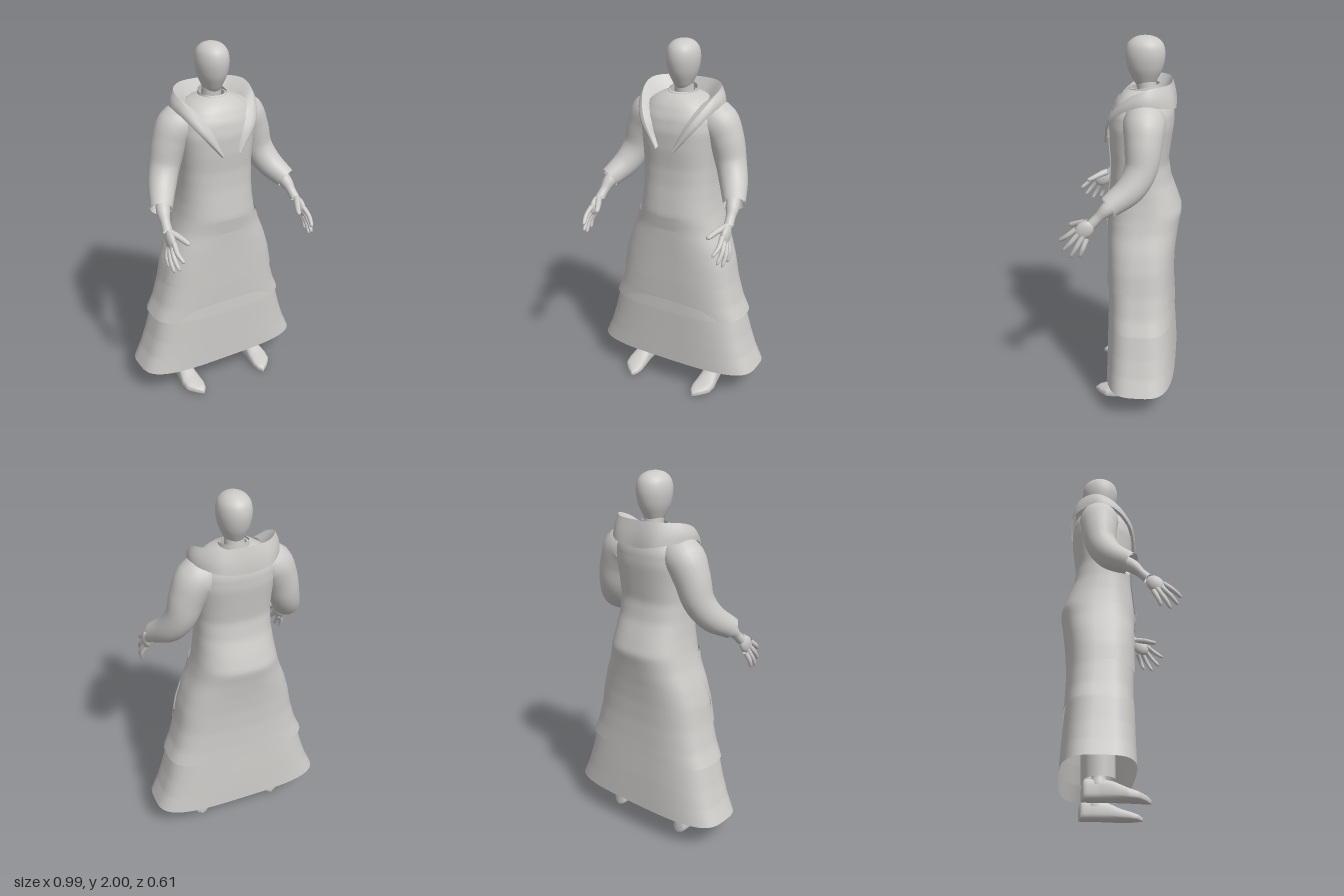
import * as THREE from 'three';
import { mergeVertices } from 'three/addons/utils/BufferGeometryUtils.js';

const clay = new THREE.MeshStandardMaterial({ color: 0xcccac7, side: THREE.DoubleSide });
clay.name = 'light grey';

const V = (p) => new THREE.Vector3(p[0], p[1], p[2]);
const lerp = THREE.MathUtils.lerp;

function add(group, name, geometry) {
  const mesh = new THREE.Mesh(geometry, clay);
  mesh.name = name;
  group.add(mesh);
  return mesh;
}

// Smooth surface from point(u, v), u and v in 0..1
function grid(nu, nv, point) {
  const pos = [], index = [];
  for (let j = 0; j <= nv; j++)
    for (let i = 0; i <= nu; i++) pos.push(...point(i / nu, j / nv));
  for (let j = 0; j < nv; j++)
    for (let i = 0; i < nu; i++) {
      const a = j * (nu + 1) + i, b = a + nu + 1;
      index.push(a, a + 1, b, a + 1, b + 1, b);
    }
  let g = new THREE.BufferGeometry();
  g.setAttribute('position', new THREE.Float32BufferAttribute(pos, 3));
  g.setIndex(index);
  g = mergeVertices(g, 1e-5);
  g.computeVertexNormals();
  return g;
}

// Interpolates rows of numbers by their first value
function rowAt(rows, key) {
  let i = 0;
  while (i < rows.length - 2 && key > rows[i + 1][0]) i++;
  const a = rows[i], b = rows[i + 1];
  const t = THREE.MathUtils.clamp((key - a[0]) / (b[0] - a[0]), 0, 1);
  return a.map((v, k) => lerp(v, b[k], t));
}

// Garment profiles: y, half width, front z, back z, squareness
const COAT = [
  [0.48, 0.405, 0.08, -0.28, 3.2], [0.56, 0.37, 0.083, -0.275, 3.1], [0.68, 0.337, 0.085, -0.27, 3],
  [0.8, 0.315, 0.085, -0.272, 2.9], [0.9, 0.285, 0.086, -0.28, 2.8], [1.0, 0.246, 0.088, -0.293, 2.6],
  [1.08, 0.225, 0.098, -0.307, 2.5], [1.16, 0.211, 0.09, -0.28, 2.5], [1.25, 0.202, 0.08, -0.245, 2.5],
  [1.35, 0.199, 0.077, -0.228, 2.5], [1.45, 0.205, 0.085, -0.24, 2.5], [1.55, 0.215, 0.086, -0.253, 2.5],
  [1.62, 0.21, 0.072, -0.253, 2.4], [1.68, 0.175, 0.042, -0.238, 2.3], [1.72, 0.115, 0.005, -0.2, 2.2],
  [1.735, 0.065, -0.03, -0.16, 2]];
const SKIRT = [
  [0.16, 0.495, 0.09, -0.295, 3.4], [0.25, 0.455, 0.089, -0.29, 3.3], [0.35, 0.422, 0.088, -0.284, 3.2],
  [0.48, 0.388, 0.087, -0.274, 3.1], [0.6, 0.345, 0.08, -0.262, 3], [0.7, 0.315, 0.075, -0.255, 3]];

function onProfile(rows, y, angle, out = 0) {
  const [, rx, zf, zb, n] = rowAt(rows, y);
  const s = Math.sin(angle), c = Math.cos(angle);
  const pow = (v) => Math.sign(v) * Math.abs(v) ** (2 / n);
  return [(rx + out) * pow(s), y, (zf + zb) / 2 + ((zf - zb) / 2 + out) * pow(c)];
}

function garment(rows) {
  const y0 = rows[0][0], y1 = rows[rows.length - 1][0];
  return grid(72, 64, (u, v) => onProfile(rows, lerp(y0, y1, v), u * Math.PI * 2));
}

// Thin panel lying on the coat front; edges: y, x start, x end
function panel(edges, out, nv = 16) {
  const y0 = edges[0][0], y1 = edges[edges.length - 1][0];
  return grid(24, nv, (u, v) => {
    const y = lerp(y0, y1, v), [, a, b] = rowAt(edges, y), [, rx, , , n] = rowAt(COAT, y);
    const toAngle = (x) => Math.sign(x) * Math.asin(Math.min(1, Math.abs(x / rx) ** (n / 2)));
    return onProfile(COAT, y, lerp(toAngle(a), toAngle(b), u), out);
  });
}

// Round limb along points x, y, z, radius; optionally closed at the tip
function limb(points, closed = false, sides = 24, steps = 28) {
  const curve = new THREE.CatmullRomCurve3(points.map(V));
  const radii = new THREE.CatmullRomCurve3(points.map((p) => new THREE.Vector3(p[3], 0, 0)));
  const f = curve.computeFrenetFrames(steps);
  return grid(sides, steps, (u, v) => {
    const j = Math.round(v * steps), t = curve.getUtoTmapping(v), a = u * Math.PI * 2;
    let r = radii.getPoint(t).x;
    if (closed && v > 0.85) r *= Math.sqrt(Math.max(0, 1 - ((v - 0.85) / 0.15) ** 2));
    return curve.getPoint(t).addScaledVector(f.normals[j], r * Math.cos(a))
      .addScaledVector(f.binormals[j], r * Math.sin(a)).toArray();
  });
}

// Shoe sections: z, centre x, half width, height
const SHOE = [
  [-0.185, 0.225, 0, 0.06], [-0.183, 0.225, 0.03, 0.09], [-0.165, 0.225, 0.043, 0.11],
  [-0.1, 0.225, 0.047, 0.115], [-0.03, 0.23, 0.054, 0.1], [0.04, 0.233, 0.062, 0.068],
  [0.09, 0.228, 0.059, 0.052], [0.13, 0.213, 0.033, 0.037], [0.155, 0.205, 0, 0.02]];

function shoe() {
  return grid(28, 40, (u, v) => {
    const [z, xc, hw, h] = rowAt(SHOE, lerp(-0.185, 0.155, v));
    const a = u * Math.PI * 2, s = Math.sin(a);
    const y = h / 2 + (h / 2) * Math.sign(s) * Math.abs(s) ** 0.6;
    return [xc + hw * Math.cos(a) * (1 - 0.25 * y / 0.12), 0.004 + y, z];
  });
}

// Turned-out collar: curves from back centre to the left front, mirrored
function collar() {
  const half = [
    [[0, 1.64, -0.262], [0.14, 1.66, -0.25], [0.235, 1.68, -0.13], [0.225, 1.665, -0.03], [0.165, 1.58, 0.068], [0.052, 1.445, 0.1]],
    [[0, 1.775, -0.24], [0.125, 1.775, -0.222], [0.208, 1.768, -0.13], [0.205, 1.725, -0.03], [0.14, 1.61, 0.078], [0.048, 1.46, 0.107]],
    [[0, 1.69, -0.2], [0.09, 1.69, -0.18], [0.15, 1.7, -0.1], [0.15, 1.685, -0.005], [0.095, 1.585, 0.07], [0.045, 1.468, 0.092]]];
  const curves = half.map((h) => new THREE.CatmullRomCurve3(
    [...h.slice().reverse(), ...h.slice(1).map(([x, y, z]) => [-x, y, z])].map(V)));
  const band = (a, b, bulge) => grid(64, 8, (u, v) => {
    const p = curves[a].getPoint(u).lerp(curves[b].getPoint(u), v);
    const k = 1 + bulge * Math.sin(v * Math.PI);
    return [p.x * k, p.y, -0.1 + (p.z + 0.1) * k];
  });
  return [band(0, 1, 0.03), band(1, 2, 0)];
}

function buildSide() {
  const side = new THREE.Group();
  // Sleeve and bare forearm
  add(side, 'sleeve', limb([[0.11, 1.6, -0.11, 0.085], [0.195, 1.59, -0.11, 0.108], [0.25, 1.5, -0.11, 0.096],
    [0.288, 1.38, -0.1, 0.083], [0.33, 1.29, -0.05, 0.075], [0.385, 1.215, 0.05, 0.058]]));
  add(side, 'sleeveLining', limb([[0.355, 1.255, -0.01, 0.05], [0.37, 1.235, 0.02, 0.05], [0.384, 1.216, 0.049, 0.051]]));
  add(side, 'forearm', limb([[0.34, 1.27, -0.03, 0.04], [0.38, 1.2, 0.06, 0.036], [0.39, 1.155, 0.105, 0.025],
    [0.395, 1.125, 0.135, 0.026]]));
  // Hand: flat palm, four fingers and a thumb
  const palm = add(side, 'palm', new THREE.SphereGeometry(1, 20, 14));
  palm.scale.set(0.022, 0.056, 0.043);
  palm.position.set(0.4, 1.09, 0.175);
  palm.rotation.x = -0.75;
  const tips = [[0.39, 1.02, 0.31], [0.407, 0.97, 0.288], [0.418, 0.942, 0.248], [0.424, 0.952, 0.198]];
  tips.forEach((tip, i) => {
    const base = [0.4 + i * 0.003, 1.095 - i * 0.016, 0.215 - i * 0.018];
    const mid = base.map((b, k) => (b + tip[k]) / 2 + (k === 0 ? 0.01 : 0));
    add(side, 'finger', limb([[...base, 0.014], [...mid, 0.0125], [...tip, 0.009]], true, 12, 14));
  });
  add(side, 'thumb', limb([[0.395, 1.13, 0.15, 0.019], [0.365, 1.115, 0.2, 0.016], [0.347, 1.1, 0.235, 0.014],
    [0.335, 1.09, 0.265, 0.011]], true, 12, 16));
  // Trouser leg, ankle and shoe
  add(side, 'trouserLeg', limb([[0.17, 0.75, -0.1, 0.085], [0.2, 0.4, -0.1, 0.08], [0.21, 0.115, -0.095, 0.077]]));
  add(side, 'ankle', limb([[0.215, 0.22, -0.1, 0.045], [0.22, 0.15, -0.1, 0.042], [0.225, 0.08, -0.1, 0.042]]));
  add(side, 'shoe', shoe());
  // Front flap of the coat
  add(side, 'coatFlap', panel([[0.68, 0.1, 0.337], [0.98, 0.055, 0.254], [1.06, 0.05, 0.23]], 0.008));
  return side;
}

export function createModel() {
  const model = new THREE.Group();
  model.name = 'robedFigure';

  // Robe layers
  add(model, 'underSkirt', garment(SKIRT));
  add(model, 'coat', garment(COAT));
  add(model, 'placket', panel([[1.07, -0.05, 0.05], [1.38, -0.04, 0.04], [1.54, -0.045, 0.045],
    [1.56, -0.065, 0.065], [1.7, -0.065, 0.065]], 0.006, 40));
  add(model, 'buckle', panel([[0.975, -0.06, 0.06], [1.015, -0.06, 0.06], [1.02, -0.085, 0.085], [1.08, -0.085, 0.085]], 0.013, 21));
  collar().forEach((g, i) => add(model, i ? 'collarLining' : 'collar', g));

  // Standing inner collar
  add(model, 'innerCollar', grid(40, 6, (u, v) => {
    const a = u * Math.PI * 2, r = 0.085 - 0.01 * v;
    return [r * Math.sin(a), 1.68 + v * (0.065 - 0.015 * Math.cos(a)), -0.095 + r * 1.05 * Math.cos(a)];
  }));

  // Neck and smooth egg-shaped head
  add(model, 'neck', limb([[0, 1.66, -0.11, 0.058], [0, 1.72, -0.108, 0.052], [0, 1.8, -0.1, 0.05]]));
  const outline = new THREE.SplineCurve([[0, 1.737], [0.036, 1.748], [0.06, 1.79], [0.079, 1.84], [0.088, 1.9],
    [0.081, 1.95], [0.06, 1.98], [0.032, 1.995], [0, 2]].map(([x, y]) => new THREE.Vector2(x, y)));
  const head = add(model, 'head', new THREE.LatheGeometry(
    outline.getPoints(40).map((p) => new THREE.Vector2(Math.max(0, p.x), p.y)), 40));
  head.scale.z = 1.17;
  head.position.z = -0.098;

  // Left and right sides
  const left = buildSide(), right = buildSide();
  left.name = 'leftSide';
  right.name = 'rightSide';
  right.scale.x = -1;
  model.add(left, right);
  return model;
}
